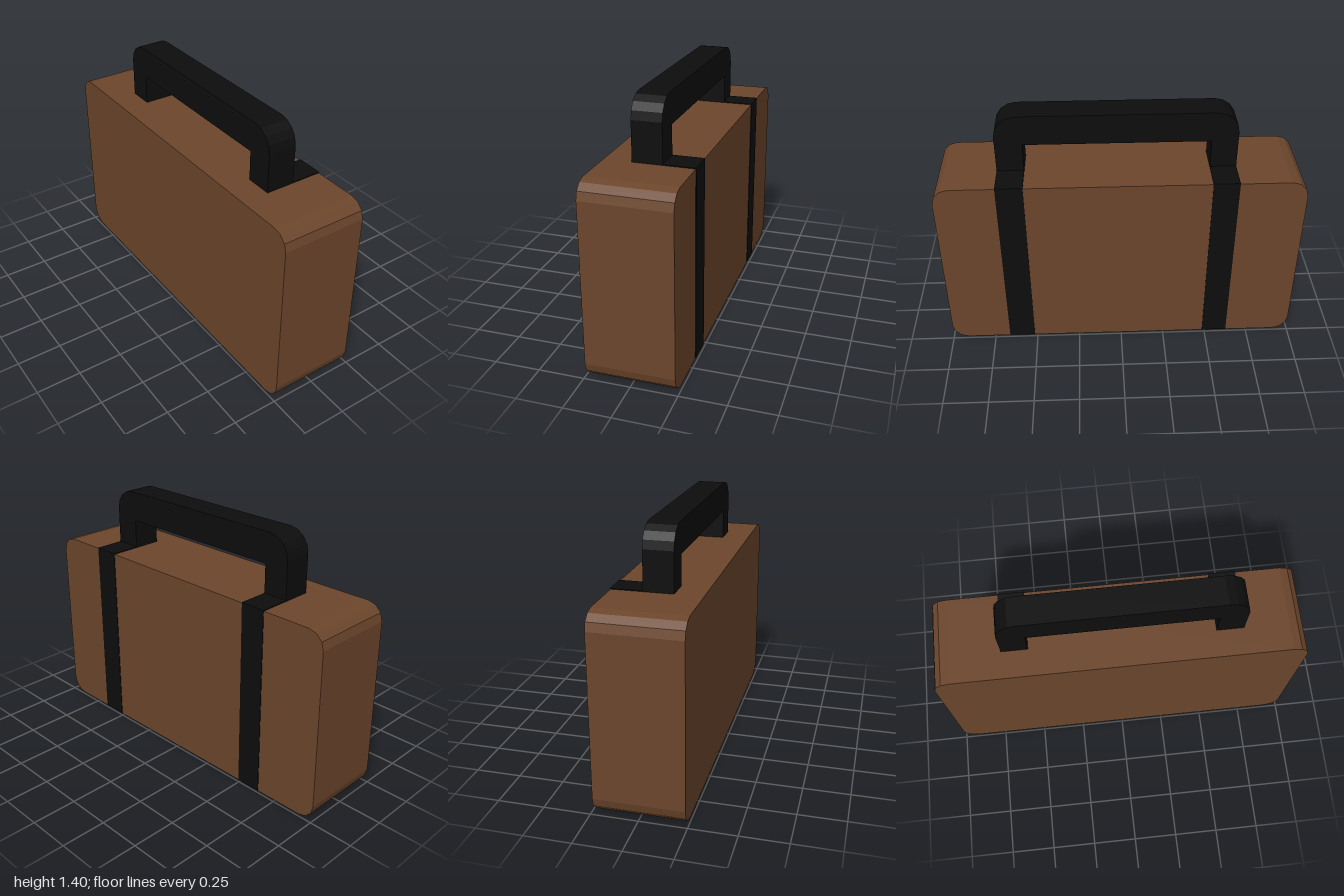
import * as THREE from 'three';

const brown = new THREE.MeshStandardMaterial({ color: 0x6b452b, flatShading: true });
const black = new THREE.MeshStandardMaterial({ color: 0x0d0d0d, flatShading: true });

// points of a quarter-circle corner, starting at angle a
function corner(cx, cy, r, a, steps) {
  return Array.from({ length: steps + 1 }, (_, i) => {
    const t = a + (i / steps) * Math.PI / 2;
    return new THREE.Vector2(cx + r * Math.cos(t), cy + r * Math.sin(t));
  });
}

// extrude a side profile (horizontal = -z, vertical = y) across x0..x1
function sideExtrude(name, points, x0, x1, material) {
  const geo = new THREE.ExtrudeGeometry(new THREE.Shape(points), { depth: x1 - x0, bevelEnabled: false });
  geo.rotateY(Math.PI / 2).translate(x0, 0, 0);
  const mesh = new THREE.Mesh(geo, material);
  mesh.name = name;
  return mesh;
}

export function createModel() {
  const model = new THREE.Group();
  model.name = 'suitcase';
  const H = 1.065, r = 0.09, q = Math.PI / 2;

  // case with rounded corners in side profile
  model.add(sideExtrude('caseBody', [
    ...corner(1 - r, H - r, r, 0, 3),
    ...corner(-1 + r, H - r, r, q, 3),
    ...corner(-1 + r, r, r, 2 * q, 3),
    ...corner(1 - r, r, r, 3 * q, 3),
  ], -0.24, 0.237, brown));

  // arched handle, slightly off centre
  const back = 0.63, front = -0.665, top = 1.4, R = 0.12;
  model.add(sideExtrude('handle', [
    new THREE.Vector2(back, 1.05),
    ...corner(back - R, top - R, R, 0, 4),
    ...corner(front + R, top - R, R, q, 4),
    new THREE.Vector2(front, 1.05),
    new THREE.Vector2(-0.517, 1.05),
    new THREE.Vector2(-0.517, 1.23),
    new THREE.Vector2(0.487, 1.23),
    new THREE.Vector2(0.487, 1.05),
  ], -0.09, 0.07, black));

  // straps: from each handle foot over the top edge and down the left face
  for (const [name, z0, z1] of [['frontStrap', 0.517, 0.665], ['backStrap', -0.63, -0.487]]) {
    const strap = new THREE.Group();
    strap.name = name;
    const zc = (z0 + z1) / 2, w = z1 - z0;
    const over = new THREE.Mesh(new THREE.BoxGeometry(0.175, 0.01, w), black);
    over.name = 'strapTop';
    over.position.set(0.1525, H, zc);
    const down = new THREE.Mesh(new THREE.BoxGeometry(0.01, H, w), black);
    down.name = 'strapSide';
    down.position.set(0.235, H / 2 + 0.003, zc);
    strap.add(over, down);
    model.add(strap);
  }
  return model;
}
